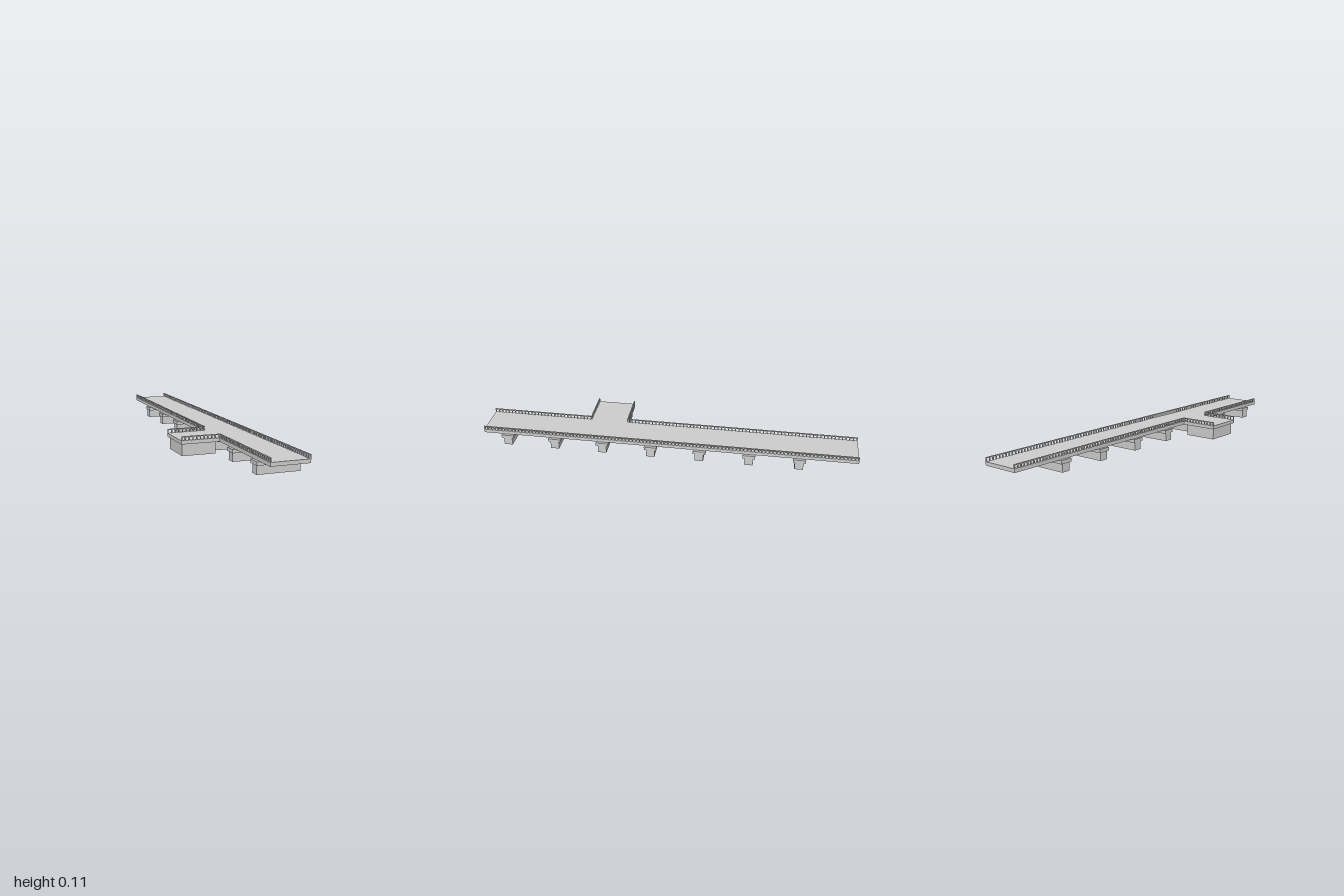
import * as THREE from 'three';
import { mergeGeometries } from 'three/addons/utils/BufferGeometryUtils.js';

export function createModel() {
  const model = new THREE.Group();
  model.name = 'bridge';
  const concrete = new THREE.MeshStandardMaterial({ color: 0xcccccc });
  concrete.name = 'concrete grey';

  // The bridge is laid out along local x, then turned to its diagonal heading
  const bridge = new THREE.Group();
  bridge.name = 'bridgeBody';
  bridge.rotation.y = -0.946;
  model.add(bridge);

  const L = 1.153, W = 0.11;           // half length and half width of the main deck
  const B0 = 0.276, B1 = 0.517, BZ = 0.335; // side branch extents
  const deckTop = 0.09, deckBottom = 0.069;

  const add = (name, geometry) => {
    const mesh = new THREE.Mesh(geometry, concrete);
    mesh.name = name;
    bridge.add(mesh);
  };
  const box = (x0, x1, y0, y1, z0, z1) =>
    new THREE.BoxGeometry(x1 - x0, y1 - y0, z1 - z0)
      .translate((x0 + x1) / 2, (y0 + y1) / 2, (z0 + z1) / 2);

  // Deck slab with its side branch
  const outline = new THREE.Shape([
    [-L, -W], [L, -W], [L, W], [B1, W], [B1, BZ], [B0, BZ], [B0, W], [-L, W],
  ].map(([x, z]) => new THREE.Vector2(x, z)));
  const deck = new THREE.ExtrudeGeometry(outline, { depth: deckTop - deckBottom, bevelEnabled: false });
  deck.rotateX(Math.PI / 2).translate(0, deckTop, 0);
  add('deck', deck);

  // Seven wall piers with wider caps
  for (let i = 0; i < 7; i++) {
    const x = -0.806 + i * 0.301;
    add('pier', box(x - 0.026, x + 0.026, 0, 0.05, -0.121, 0.121));
    add('pierCap', box(x - 0.038, x + 0.038, 0.049, deckBottom, -0.126, 0.126));
  }

  // Solid block under the branch
  add('branchAbutment', box(0.293, 0.5, 0, deckBottom, 0.128, 0.325));

  // Railing of closely spaced posts under a top rail, length measured along x from 0
  const railing = (length) => {
    const t = 0.003, top = 0.113;
    const parts = [box(0, length, top - 0.006, top, -t, t)];
    const n = Math.round(length / 0.022);
    for (let i = 0; i <= n; i++) {
      const x = t + (length - 2 * t) * i / n;
      parts.push(box(x - t, x + t, deckTop, top - 0.006, -t, t));
    }
    return mergeGeometries(parts);
  };
  const e = 0.107; // railing line just inside the deck edge
  add('backRailing', railing(2 * L).translate(-L, 0, -e));
  add('frontRailingLong', railing(B0 + L).translate(-L, 0, e));
  add('frontRailingShort', railing(L - B1).translate(B1, 0, e));
  for (const x of [B0 + 0.003, B1 - 0.003]) {
    add('branchRailing', railing(BZ - W).rotateY(-Math.PI / 2).translate(x, 0, W));
  }
  return model;
}
